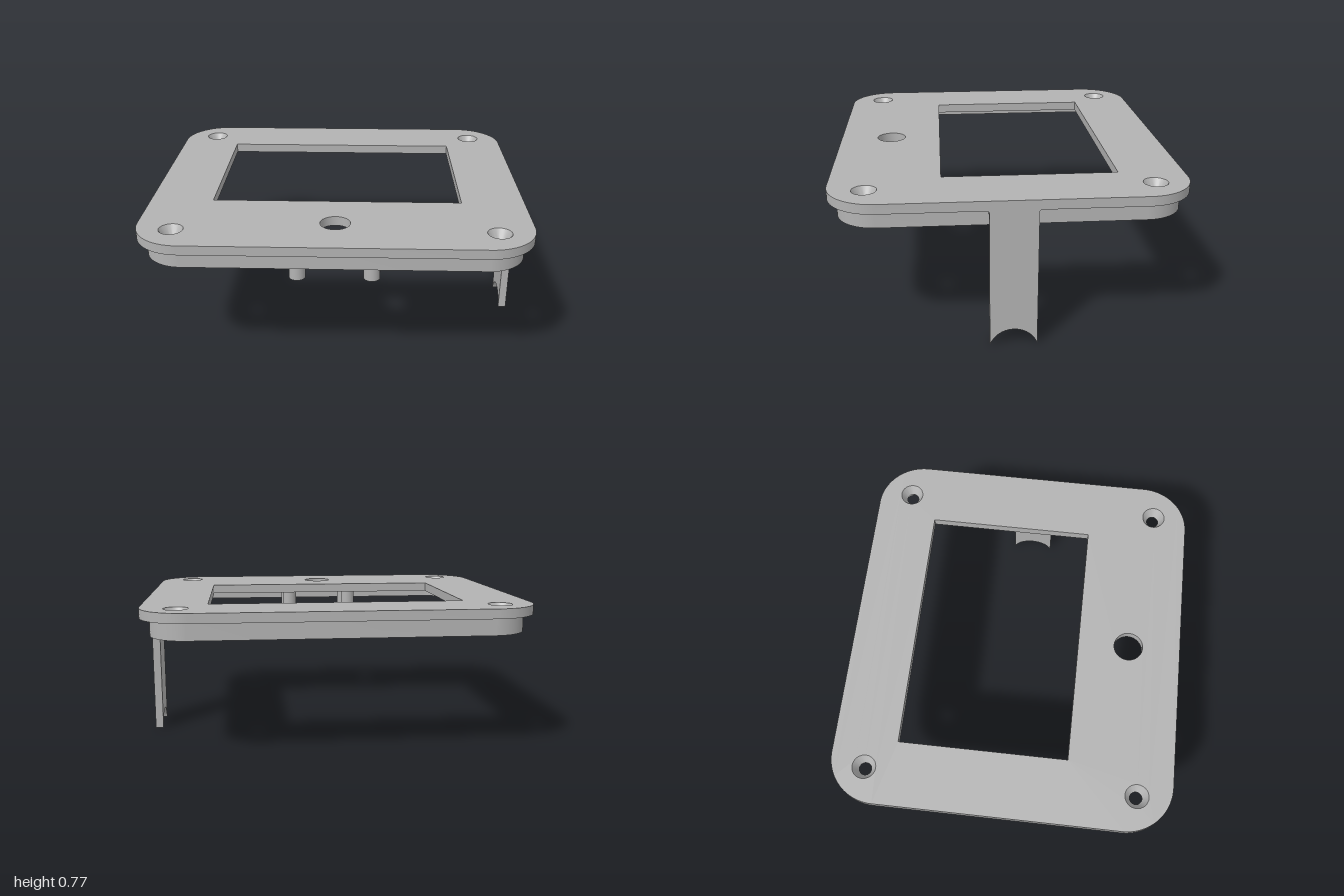
import * as THREE from 'three';
import { toCreasedNormals } from 'three/addons/utils/BufferGeometryUtils.js';

const TOP = 0.77, UNDER = 0.72, RIM_BOTTOM = 0.63;

// Rounded rectangle outline centred on the origin (shape y becomes model z)
function roundedRect(target, hw, hd, r) {
  target.moveTo(hw, -hd + r);
  target.lineTo(hw, hd - r);
  target.absarc(hw - r, hd - r, r, 0, Math.PI / 2);
  target.absarc(-hw + r, hd - r, r, Math.PI / 2, Math.PI);
  target.absarc(-hw + r, -hd + r, r, Math.PI, Math.PI * 1.5);
  target.absarc(hw - r, -hd + r, r, Math.PI * 1.5, Math.PI * 2);
  return target;
}

const circle = (x, z, r) => new THREE.Path().absarc(x, z, r, 0, Math.PI * 2);

// Extrude a flat outline downwards from the given height
function slab(shape, top, depth) {
  return new THREE.ExtrudeGeometry(shape, { depth, bevelEnabled: false, curveSegments: 16 })
    .rotateX(Math.PI / 2).translate(0, top, 0);
}

export function createModel() {
  const group = new THREE.Group();
  const grey = new THREE.MeshStandardMaterial({ color: 0xb3b3b3 });
  grey.name = 'grey plastic';
  const add = (name, geometry) => {
    const mesh = new THREE.Mesh(toCreasedNormals(geometry, 0.6), grey);
    mesh.name = name;
    group.add(mesh);
    return mesh;
  };

  // Cover plate with window, button hole and four screw holes
  const screws = [[-0.815, -0.71], [0.815, -0.71], [-0.815, 0.705], [0.815, 0.705]];
  const plate = roundedRect(new THREE.Shape(), 1, 0.89, 0.25);
  plate.holes.push(
    new THREE.Path().setFromPoints([[-0.664, -0.555], [-0.664, 0.337], [0.664, 0.337], [0.664, -0.555]]
      .map(([x, z]) => new THREE.Vector2(x, z))),
    circle(0, 0.61, 0.078),
    ...screws.map(([x, z]) => circle(x, z, 0.062)));
  const plateGeo = slab(plate, TOP, TOP - UNDER);

  // Countersinks: narrow each screw hole towards the underside
  const pos = plateGeo.attributes.position;
  for (let i = 0; i < pos.count; i++) {
    if (pos.getY(i) > UNDER + 0.01) continue;
    for (const [x, z] of screws) {
      const dx = pos.getX(i) - x, dz = pos.getZ(i) - z;
      if (Math.hypot(dx, dz) < 0.07) {
        pos.setX(i, x + dx * 0.52);
        pos.setZ(i, z + dz * 0.52);
      }
    }
  }
  add('coverPlate', plateGeo);

  // Thin locating rim under the plate
  const rim = roundedRect(new THREE.Shape(), 0.95, 0.845, 0.2);
  rim.holes.push(roundedRect(new THREE.Path(), 0.92, 0.815, 0.17));
  add('rim', slab(rim, UNDER, UNDER - RIM_BOTTOM));

  // Hollow posts around the button hole
  const postProfile = [[0.018, UNDER], [0.018, 0.525], [0.042, 0.525], [0.042, UNDER]]
    .map(([r, y]) => new THREE.Vector2(r, y));
  for (const x of [-0.188, 0.188]) {
    for (const z of [0.505, 0.73]) {
      add('post', new THREE.LatheGeometry(postProfile, 24)).position.set(x, 0, z);
    }
  }

  // Side leg with small fillets at the top and a concave foot
  const hw = 0.118, rise = 0.085, f = 0.012;
  const r = (hw * hw + rise * rise) / (2 * rise);
  const a = Math.atan2(r - rise, hw);
  const leg = new THREE.Shape();
  leg.moveTo(hw, 0);
  leg.lineTo(hw, UNDER - f);
  leg.quadraticCurveTo(hw, UNDER, hw + f, UNDER);
  leg.lineTo(-hw - f, UNDER);
  leg.quadraticCurveTo(-hw, UNDER, -hw, UNDER - f);
  leg.lineTo(-hw, 0);
  leg.absarc(0, rise - r, r, Math.PI - a, a, true);
  add('sideLeg', new THREE.ExtrudeGeometry(leg, { depth: 0.043, bevelEnabled: false, curveSegments: 20 })
    .rotateY(Math.PI / 2).translate(0.957, 0, 0));

  return group;
}
